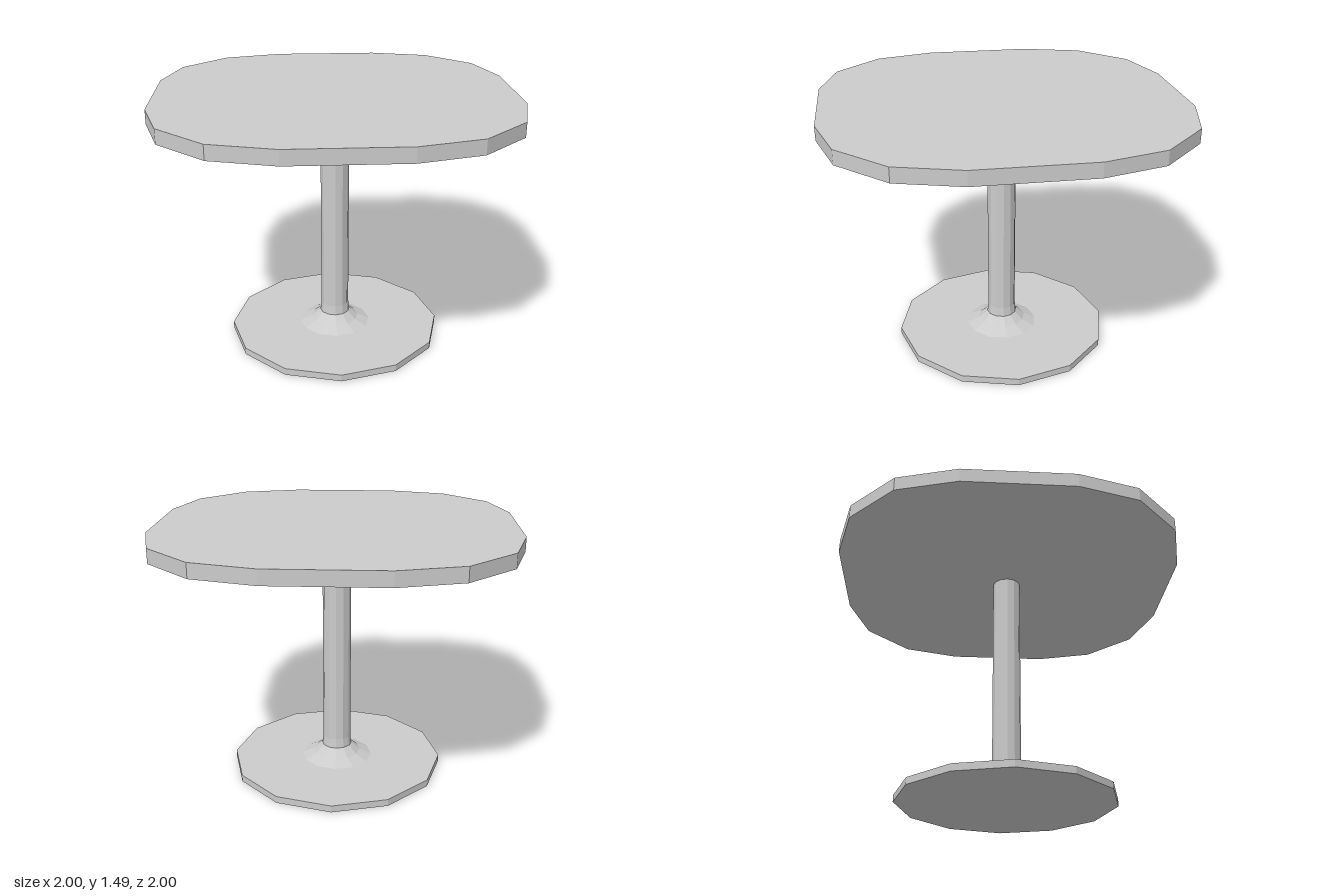
import * as THREE from 'three';

const material = new THREE.MeshStandardMaterial({ color: 0xcccccc, flatShading: true });
const SIDES = 12;

function addPart(group, name, geometry, y = 0) {
  const mesh = new THREE.Mesh(geometry, material);
  mesh.name = name;
  mesh.position.y = y;
  group.add(mesh);
}

// Rounded-square outline: one corner's points, turned through four quarters
function topOutline() {
  const corner = [[1, 0.31], [0.905, 0.65], [0.65, 0.905], [0.31, 1]];
  const points = [];
  for (let quarter = 0; quarter < 4; quarter++) {
    for (const [x, y] of corner) {
      points.push(new THREE.Vector2(x, y).rotateAround(new THREE.Vector2(), quarter * Math.PI / 2));
    }
  }
  return new THREE.Shape(points);
}

export function createModel() {
  const table = new THREE.Group();
  table.name = 'pedestalTable';

  // Flat foot plate
  addPart(table, 'base', new THREE.CylinderGeometry(0.625, 0.625, 0.04, SIDES), 0.02);

  // Flared collar running up into the column
  const profile = [[0.21, 0.04], [0.14, 0.07], [0.088, 0.115], [0.082, 0.17], [0.082, 1.41]]
    .map(([r, y]) => new THREE.Vector2(r, y));
  addPart(table, 'column', new THREE.LatheGeometry(profile, SIDES));

  // Table top slab
  const slab = new THREE.ExtrudeGeometry(topOutline(), { depth: 0.08, bevelEnabled: false });
  slab.rotateX(-Math.PI / 2);
  addPart(table, 'tableTop', slab, 1.405);

  return table;
}
